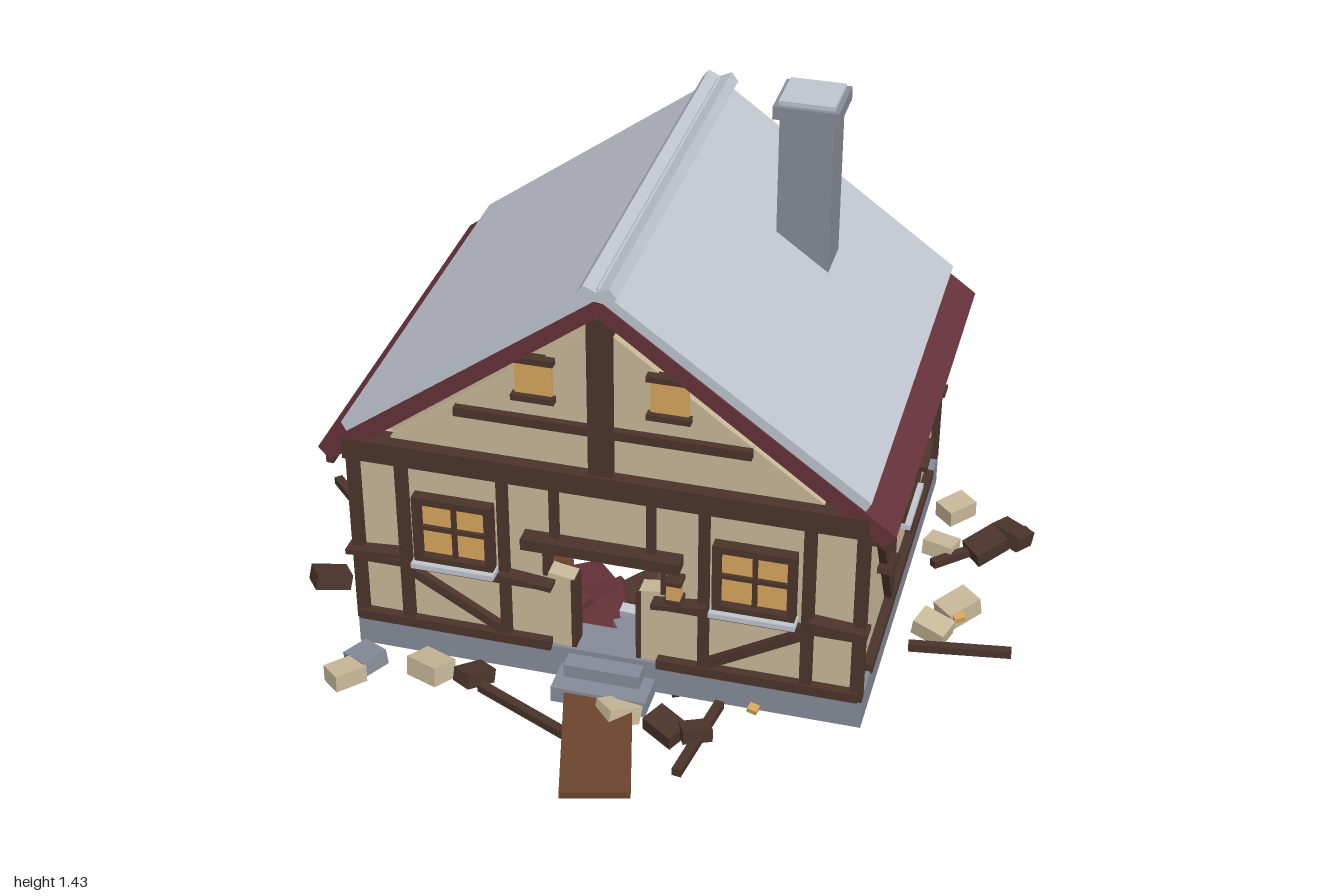
import * as THREE from 'three';

const mat = (name, color) => {
  const m = new THREE.MeshStandardMaterial({ color });
  m.name = name;
  return m;
};
const M = {
  plaster: mat('plaster', 0xc8b899),
  timber: mat('dark timber', 0x4b342b),
  stone: mat('stone grey', 0x868b98),
  sheet: mat('pale roof grey', 0xc0c4ce),
  red: mat('dark red', 0x66323a),
  glass: mat('amber glass', 0xd8a55c),
  door: mat('door brown', 0x6b452d),
};

let seed = 7;
const rnd = (a, b) => {
  seed = (seed * 16807) % 2147483647;
  return a + (b - a) * (seed / 2147483647);
};

function box(parent, name, m, w, h, d, x, y, z) {
  const mesh = new THREE.Mesh(new THREE.BoxGeometry(w, h, d), m);
  mesh.name = name;
  mesh.position.set(x, y, z);
  parent.add(mesh);
  return mesh;
}

// Prism from an xy outline, running from z0 to z1
function prism(parent, name, m, pts, z0, z1) {
  const shape = new THREE.Shape(pts.map(p => new THREE.Vector2(...p)));
  const geo = new THREE.ExtrudeGeometry(shape, { depth: z1 - z0, bevelEnabled: false });
  const mesh = new THREE.Mesh(geo, m);
  mesh.name = name;
  mesh.position.z = z0;
  parent.add(mesh);
  return mesh;
}

// Timber between two points on a facade
function bar(parent, name, x1, y1, x2, y2, w = 0.025, z = 0.005, d = 0.03) {
  const b = box(parent, name, M.timber, Math.hypot(x2 - x1, y2 - y1), w, d, (x1 + x2) / 2, (y1 + y2) / 2, z);
  b.rotation.z = Math.atan2(y2 - y1, x2 - x1);
  return b;
}

function windowUnit(parent, x, y, w, h) {
  const g = new THREE.Group();
  g.name = 'window';
  g.position.set(x, y, 0);
  parent.add(g);
  box(g, 'glass', M.glass, w - 0.02, h - 0.02, 0.008, 0, 0, 0.004);
  for (const s of [-1, 1]) {
    box(g, 'frameSide', M.timber, 0.02, h, 0.04, s * (w / 2 - 0.01), 0, 0.012);
    box(g, 'frameRail', M.timber, w, 0.02, 0.04, 0, s * (h / 2 - 0.01), 0.012);
  }
  box(g, 'muntin', M.timber, 0.012, h, 0.02, 0, 0, 0.008);
  box(g, 'crossMuntin', M.timber, w, 0.012, 0.02, 0, 0, 0.008);
  box(g, 'windowSill', M.sheet, w + 0.01, 0.015, 0.055, 0, -h / 2 - 0.003, 0.02);
}

// Facade group: local z = 0 is the outer plaster face
function facade(parent, name, x, z, turn) {
  const g = new THREE.Group();
  g.name = name;
  g.position.set(x, 0, z);
  g.rotation.y = turn;
  parent.add(g);
  return g;
}

// Timber framing shared by front and back gable ends
function gableEnd(g, isFront) {
  const pts = isFront
    ? [[-0.65, 0.13], [-0.08, 0.13], [-0.08, 0.36], [-0.15, 0.37], [-0.15, 0.48], [0.16, 0.48], [0.16, 0.37],
      [0.09, 0.36], [0.09, 0.13], [0.65, 0.13], [0.65, 0.7], [-0.65, 0.7]]
    : [[-0.65, 0.13], [0.65, 0.13], [0.65, 0.7], [-0.65, 0.7]];
  prism(g, 'wall', M.plaster, pts, -0.05, 0);
  prism(g, 'gable', M.plaster, [[-0.58, 0.69], [0.58, 0.69], [0, 1.12]], -0.04, 0);
  box(g, 'tieBeam', M.timber, 1.34, 0.06, 0.06, 0, 0.68, 0.005);
  box(g, 'kingPost', M.timber, 0.06, 0.45, 0.05, 0, 0.93, 0.002);
  box(g, 'collarBeam', M.timber, 0.75, 0.025, 0.03, 0, 0.83, 0.005);
  for (const s of [-1, 1]) {
    box(g, 'cornerPost', M.timber, 0.03, 0.53, 0.03, s * 0.655, 0.4, 0);
    box(g, 'outerPost', M.timber, 0.03, 0.5, 0.03, s * 0.525, 0.4, 0.005);
    box(g, 'innerPost', M.timber, 0.026, 0.5, 0.03, s * 0.26, 0.4, 0.005);
    box(g, 'sillBeam', M.timber, 0.52, 0.028, 0.04, s * 0.4, 0.153, 0.005);
    box(g, 'rail', M.timber, 0.5, 0.018, 0.03, s * 0.41, 0.335, 0.005);
    bar(g, 'brace', s * 0.51, 0.315, s * 0.27, 0.175);
    windowUnit(g, s * 0.39, 0.46, 0.21, 0.2);
    bar(g, 'splinter', s * 0.68, 0.36, s * 0.53, 0.372, 0.014, 0.015, 0.05);
    bar(g, 'splinter', s * 0.27, 0.36, s * 0.13, 0.345, 0.014, 0.015, 0.05);
    if (isFront) {
      box(g, 'doorUpperPost', M.timber, 0.022, 0.17, 0.03, s * 0.125, 0.57, 0.005);
      box(g, 'brokenJamb', M.timber, 0.012, 0.11, 0.055, s * 0.154, 0.42, -0.02);
      box(g, 'doorJamb', M.timber, 0.012, 0.21, 0.055, s * 0.085 + 0.004, 0.255, -0.02);
      // Small attic openings
      box(g, 'atticGlass', M.glass, 0.095, 0.1, 0.008, s * 0.17, 0.955, 0.004);
      for (const y of [0.9, 1.008]) box(g, 'atticTrim', M.timber, 0.11, 0.016, 0.03, s * 0.17, y, 0.008);
    }
  }
  if (isFront) box(g, 'doorLintel', M.timber, 0.41, 0.032, 0.07, 0, 0.48, 0.012);
  else box(g, 'middleSill', M.timber, 0.4, 0.028, 0.04, 0, 0.153, 0.005);
}

function sideWall(g) {
  box(g, 'wall', M.plaster, 1.1, 0.56, 0.05, 0, 0.41, -0.025);
  box(g, 'sillBeam', M.timber, 0.9, 0.025, 0.04, 0, 0.153, 0.005);
  box(g, 'topPlate', M.timber, 1.12, 0.03, 0.03, 0, 0.655, 0.005);
  windowUnit(g, 0, 0.457, 0.19, 0.2);
  for (const s of [-1, 1]) {
    box(g, 'post', M.timber, 0.03, 0.5, 0.03, s * 0.15, 0.4, 0.005);
    box(g, 'cornerPost', M.timber, 0.02, 0.53, 0.03, s * 0.545, 0.4, 0.002);
    bar(g, 'brace', s * 0.43, 0.64, s * 0.15, 0.17, 0.024);
    bar(g, 'splinter', s * 0.43, 0.53, s * 0.32, 0.54, 0.016, 0.02, 0.04);
    bar(g, 'splinter', s * 0.31, 0.36, s * 0.2, 0.335, 0.016, 0.02, 0.04);
  }
}

export function createModel() {
  const root = new THREE.Group();
  root.name = 'ruinedCottage';

  // Hollow stone footing
  for (const s of [-1, 1]) {
    box(root, 'footingSide', M.stone, 0.11, 0.095, 1.12, s * 0.615, 0.098, -0.05);
    box(root, 'footingEnd', M.stone, 1.12, 0.095, 0.11, 0, 0.098, -0.05 + s * 0.505);
  }
  box(root, 'upperStep', M.stone, 0.2, 0.08, 0.06, 0.005, 0.09, 0.53);
  box(root, 'lowerStep', M.stone, 0.25, 0.045, 0.1, 0.01, 0.07, 0.56);

  // Walls
  gableEnd(facade(root, 'frontFacade', 0, 0.5, 0), true);
  gableEnd(facade(root, 'backFacade', 0, -0.6, Math.PI), false);
  sideWall(facade(root, 'leftFacade', 0.65, -0.05, Math.PI / 2));
  sideWall(facade(root, 'rightFacade', -0.65, -0.05, -Math.PI / 2));
  box(root, 'hearth', M.stone, 0.16, 0.36, 0.06, 0, 0.3, -0.52);

  // Lantern by the door
  box(root, 'lantern', M.glass, 0.035, 0.05, 0.035, 0.19, 0.405, 0.53);
  for (const y of [0.378, 0.436]) box(root, 'lanternCap', M.timber, 0.045, 0.012, 0.045, 0.19, y, 0.53);

  // Roof
  for (const s of [-1, 1]) {
    const side = pts => pts.map(([x, y]) => [x * s, y]);
    prism(root, 'roofDeck', M.red, side([[0, 1.21], [0.735, 0.67], [0.705, 0.635], [0, 1.163]]), -0.65, 0.53);
    prism(root, 'roofSheet', M.sheet, side([[0, 1.24], [0.67, 0.752], [0.655, 0.724], [0, 1.205]]), -0.64, 0.525);
    box(root, 'eaveBatten', M.timber, 0.02, 0.035, 1.17, s * 0.708, 0.64, -0.06);
    prism(root, 'ridgeCap', M.sheet, side([[0, 1.235], [0.032, 1.25], [0.05, 1.225], [0.035, 1.205], [0, 1.21]]), -0.658, 0.537);
  }

  // Chimney
  box(root, 'chimney', M.stone, 0.14, 0.53, 0.13, 0.337, 1.125, -0.255);
  box(root, 'chimneyCap', M.stone, 0.17, 0.035, 0.165, 0.337, 1.39, -0.255);
  box(root, 'chimneyTop', M.sheet, 0.145, 0.015, 0.14, 0.337, 1.412, -0.255);

  // Fallen door leaning from the step
  const door = box(root, 'fallenDoor', M.door, 0.175, 0.02, 0.36, 0.052, 0.067, 0.762);
  door.rotation.set(0.04, 0.26, 0);

  // Fallen beams around the house: x1, z1, x2, z2
  [[-0.99, -0.15, -0.79, 0.05], [-0.95, -0.16, -0.72, -0.09], [-0.3, 0.62, -0.02, 0.75], [0.31, 0.53, 0.27, 0.81],
    [0.73, 0.17, 0.995, 0.13], [0.37, -0.95, 0.55, -0.65], [-0.17, -0.71, 0.1, -0.75], [0.73, -0.2, 0.96, -0.42],
  ].forEach(([a, b, c, d]) => {
    const beam = box(root, 'fallenBeam', M.timber, Math.hypot(c - a, d - b), 0.022, 0.024, (a + c) / 2, 0.065, (b + d) / 2);
    beam.rotation.y = -Math.atan2(d - b, c - a);
  });

  // Scattered blocks: x, z per material
  const scatter = (name, m, spots, w, h, d) => spots.forEach(([x, z]) => {
    const k = rnd(0.85, 1.15);
    box(root, name, m, w * k, h * k, d * k, x, rnd(0.06, 0.085), z)
      .rotation.set(rnd(-0.2, 0.2), rnd(-1, 1), rnd(-0.2, 0.2));
  });
  scatter('plasterBlock', M.plaster, [[-0.93, -0.44], [-0.8, -0.43], [-0.28, -0.81], [-0.1, -0.84], [0.09, -0.8], [0.83, -0.01],
    [0.78, 0.08], [-0.65, 0.67], [-0.44, 0.6], [0.07, 0.63], [0.75, -0.47], [0.74, -0.28]], 0.095, 0.05, 0.07);
  scatter('stoneBlock', M.stone, [[-0.62, 0.6], [-0.77, -0.35], [-0.82, -0.02]], 0.09, 0.045, 0.08);
  scatter('timberChunk', M.timber, [[-0.94, -0.35], [-0.83, 0.31], [-0.33, 0.58], [0.43, -0.74], [0.86, -0.3],
    [0.92, -0.39], [0.28, 0.66], [0.2, 0.65]], 0.09, 0.04, 0.065);
  scatter('amberShard', M.glass, [[-0.3, -0.77], [-0.06, -0.69], [0.36, -0.72], [-0.86, -0.28], [-0.79, -0.07],
    [-0.74, -0.04], [0.84, 0.04], [0.4, 0.54]], 0.028, 0.015, 0.025);

  // Rubble heaped inside the footing
  const kinds = [M.red, M.timber, M.stone, M.plaster, M.red, M.sheet, M.timber, M.door];
  for (let i = 0; i < 88; i++) {
    const plank = i % 4 === 1;
    const m = box(root, 'rubble', kinds[i % kinds.length], plank ? rnd(0.2, 0.34) : rnd(0.08, 0.17), rnd(0.015, 0.04),
      plank ? 0.03 : rnd(0.06, 0.13), rnd(-0.48, 0.48), rnd(0.06, 0.12), rnd(-0.48, 0.38));
    m.rotation.set(rnd(-0.35, 0.35), rnd(0, 3.1), rnd(-0.28, 0.28));
  }
  // Tilted roof shards reaching the ground
  for (const [x, z] of [[0.42, 0.12], [-0.1, 0.2], [0.15, -0.3]]) {
    box(root, 'roofShard', M.red, 0.15, 0.02, 0.11, x, 0.055, z).rotation.set(0.2, 0.4, 0.45);
  }
  return root;
}
